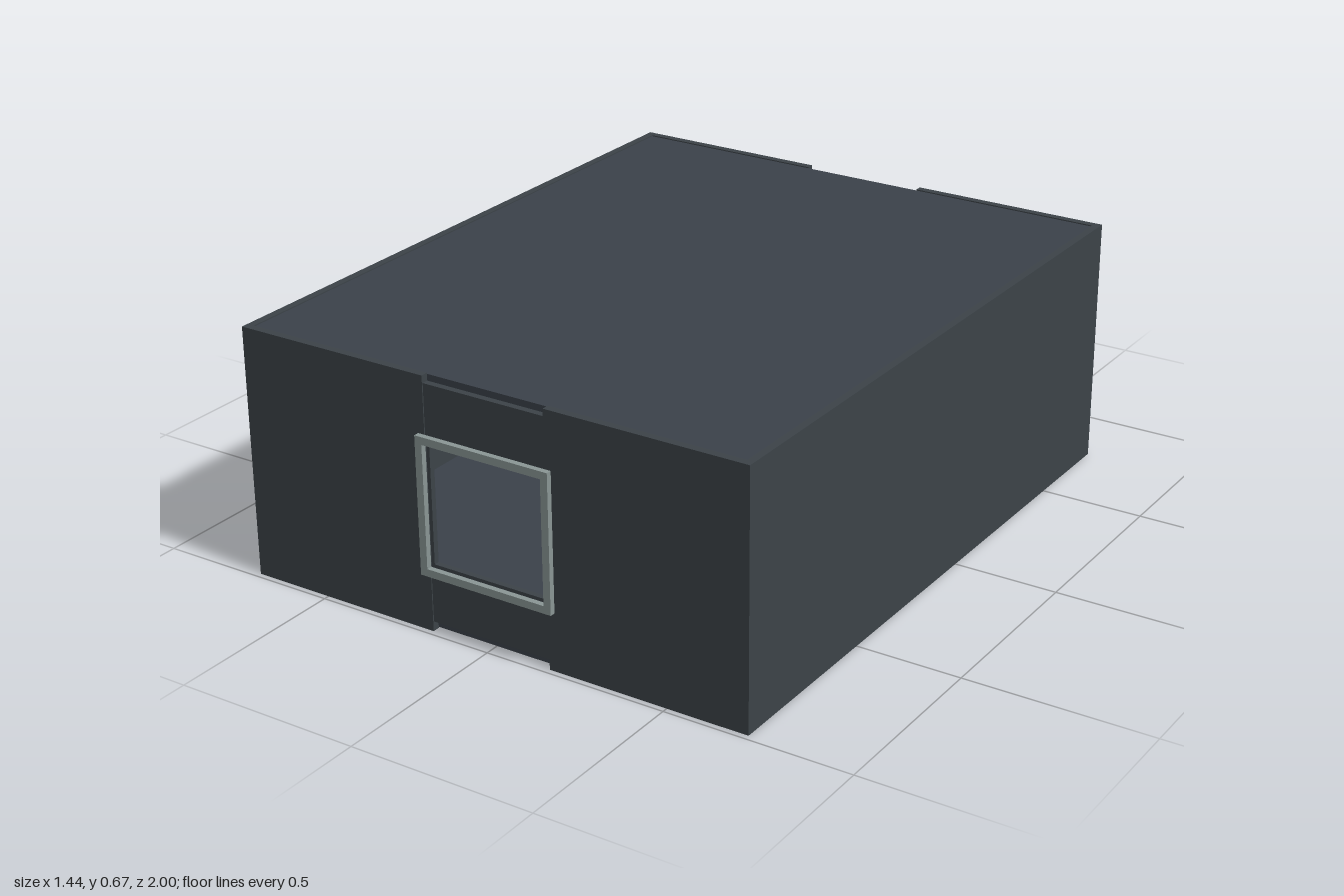
import * as THREE from 'three';

export function createModel() {
  const model = new THREE.Group();
  const mat = (name, color) => {
    const m = new THREE.MeshStandardMaterial({ color });
    m.name = name;
    return m;
  };
  const wall = mat('dark wall', 0x3c4348);
  const slab = mat('blue grey slab', 0x3b414a);
  const trim = mat('pale trim', 0x8a9695);
  const metal = mat('grey metal', 0x686e6e);
  const dark = mat('black metal', 0x1c2022);

  // Box given by its lower and upper limits on each axis
  const box = (name, material, [x0, x1], [y0, y1], [z0, z1], parent = model) => {
    const mesh = new THREE.Mesh(new THREE.BoxGeometry(x1 - x0, y1 - y0, z1 - z0), material);
    mesh.position.set((x0 + x1) / 2, (y0 + y1) / 2, (z0 + z1) / 2);
    mesh.name = name;
    parent.add(mesh);
    return mesh;
  };

  // Rectangular ring extruded along z
  const ring = (name, material, w, y0, y1, t, z0, z1) => {
    const s = new THREE.Shape();
    s.moveTo(-w, y0).lineTo(w, y0).lineTo(w, y1).lineTo(-w, y1).closePath();
    const h = new THREE.Path();
    h.moveTo(-w + t, y0 + t).lineTo(-w + t, y1 - t).lineTo(w - t, y1 - t).lineTo(w - t, y0 + t).closePath();
    s.holes.push(h);
    const mesh = new THREE.Mesh(
      new THREE.ExtrudeGeometry(s, { depth: z1 - z0, bevelEnabled: false }), material);
    mesh.position.z = z0;
    mesh.name = name;
    model.add(mesh);
  };

  const X = 0.72, H = 0.67, ZB = -0.775, ZF = 0.985, T = 0.02, W = 0.172;

  // Floor and roof sit between the walls
  box('floor', slab, [-X + T, X - T], [0.003, 0.022], [ZB + T, ZF - T]);
  box('roof', slab, [-X + T, X - T], [H - 0.022, H - 0.003], [ZB + T, ZF - T]);

  // Side walls
  for (const s of [-1, 1]) {
    box('sideWall', wall, s < 0 ? [-X, -X + T] : [X - T, X], [0, H], [ZB, ZF]);
  }

  // End walls: two full-height sections with shorter panels above and below the opening
  for (const [name, z0, z1, p0, p1] of [
    ['front', ZF - T, ZF, ZF - T, ZF - 0.003],
    ['back', ZB, ZB + T, ZB + 0.003, ZB + T],
  ]) {
    box(name + 'WallRight', wall, [-X + T, -W], [0, H], [z0, z1]);
    box(name + 'WallLeft', wall, [W, X - T], [0, H], [z0, z1]);
    box(name + 'LowerPanel', wall, [-W, W], [0.025, 0.172], [p0, p1]);
    box(name + 'UpperPanel', wall, [-W, W], [0.503, 0.65], [p0, p1]);
  }

  // Window frame with a thin dark liner inside it
  ring('windowFrame', trim, 0.19, 0.155, 0.52, 0.02, ZF, 1.0);
  ring('windowLiner', wall, 0.172, 0.172, 0.503, 0.009, ZF - T, ZF - 0.005);

  // Entry passage at the back, with a stepped inner lining
  ring('passage', wall, 0.193, 0.155, 0.522, 0.017, -1.0, ZB);
  ring('passageLining', wall, 0.176, 0.172, 0.505, 0.012, -0.9, ZB + T);

  // Long bench inside the room
  const bench = new THREE.Group();
  bench.name = 'bench';
  model.add(bench);
  box('benchBack', slab, [-0.6, 0.02], [0.31, 0.39], [-0.34, -0.31], bench);
  const profile = new THREE.Shape([
    [0.34, 0.2], [0.12, 0.2], [0.12, 0.225], [0.2, 0.27], [0.31, 0.31], [0.34, 0.31],
  ].map(([x, y]) => new THREE.Vector2(x, y)));
  const seat = new THREE.Mesh(
    new THREE.ExtrudeGeometry(profile, { depth: 0.62, bevelEnabled: false }), metal);
  seat.rotation.y = Math.PI / 2;
  seat.position.x = -0.6;
  seat.name = 'benchSeat';
  bench.add(seat);
  box('benchEndUpright', dark, [0.01, 0.025], [0.2, 0.41], [-0.35, -0.3], bench);
  const brace = box('benchEndBrace', dark, [0.022, 0.04], [0.17, 0.36], [-0.3, -0.12], bench);
  brace.scale.y = 0.8;
  for (const x of [-0.56, -0.3, -0.04]) {
    for (const z of [-0.32, -0.14]) {
      box('benchLeg', dark, [x, x + 0.01], [0.022, 0.2], [z, z + 0.01], bench);
    }
  }

  return model;
}
